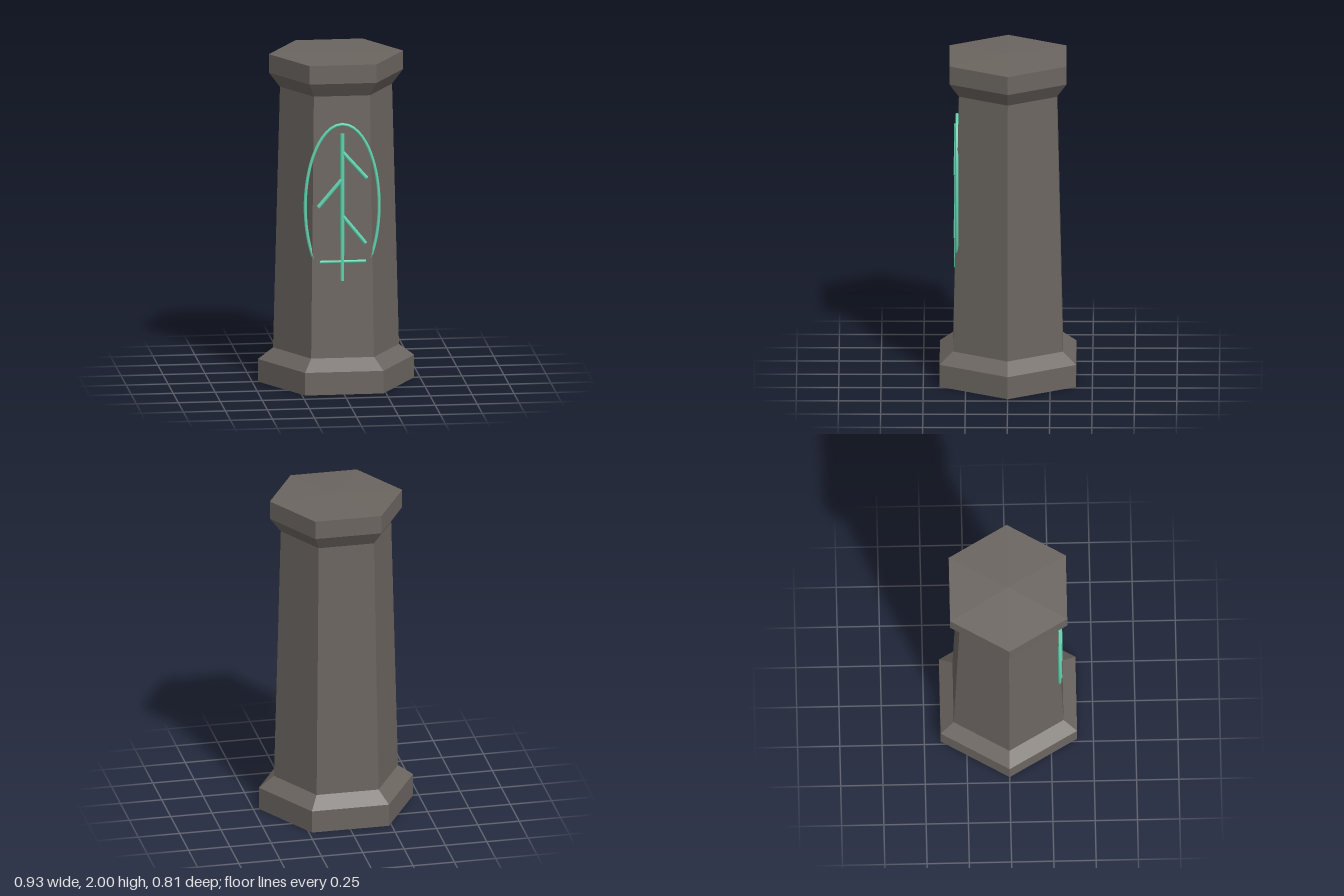
import * as THREE from 'three';

export function createModel() {
  const model = new THREE.Group();
  const stone = new THREE.MeshStandardMaterial({ color: 0x6b6560, flatShading: true });
  stone.name = 'stone';
  const glow = new THREE.MeshStandardMaterial({ color: 0x63d4b0 });
  glow.name = 'rune green';

  function add(name, geometry, material, parent = model) {
    const mesh = new THREE.Mesh(geometry, material);
    mesh.name = name;
    parent.add(mesh);
    return mesh;
  }

  // Six-sided solid of revolution with corners on the x axis
  const hex = (profile) => new THREE.LatheGeometry(
    profile.map(([r, y]) => new THREE.Vector2(r, y)), 6, Math.PI / 6);

  // Pillar: plinth, tapering shaft and capstone
  add('plinth', hex([[0, 0], [0.466, 0], [0.466, 0.137], [0.375, 0.205]]), stone);
  add('shaft', hex([[0.375, 0.205], [0.334, 1.785]]), stone);
  add('capstone', hex([[0.334, 1.785], [0.4, 1.872], [0.4, 1.984], [0, 2]]), stone);

  // Rune on the front face
  const rune = new THREE.Group();
  rune.name = 'rune';
  model.add(rune);

  // Oval ring, its lower end sinking into the sloping face
  class Oval extends THREE.Curve {
    getPoint(t, target = new THREE.Vector3()) {
      const a = t * Math.PI * 2;
      return target.set(0.22 * Math.sin(a), 1.12 + 0.495 * Math.cos(a), 0.302);
    }
  }
  add('ovalRing', new THREE.TubeGeometry(new Oval(), 64, 0.0095, 8, true), glow, rune);

  // Straight strokes: name, start x, y, end x, y, radius
  const strokes = [
    ['stem', 0, 0.67, 0, 1.56, 0.0125],
    ['upperBranch', 0, 1.45, 0.145, 1.287, 0.0125],
    ['middleBranch', 0, 1.285, -0.143, 1.118, 0.0125],
    ['lowerBranch', 0, 1.063, 0.138, 0.893, 0.0125],
    ['crossbar', -0.135, 0.785, 0.14, 0.785, 0.0105],
  ];
  for (const [name, x0, y0, x1, y1, r] of strokes) {
    const length = Math.hypot(x1 - x0, y1 - y0);
    const bar = add(name, new THREE.CylinderGeometry(r, r, length, 8), glow, rune);
    bar.position.set((x0 + x1) / 2, (y0 + y1) / 2, 0.308);
    bar.rotation.z = Math.atan2(x0 - x1, y1 - y0);
  }

  return model;
}
